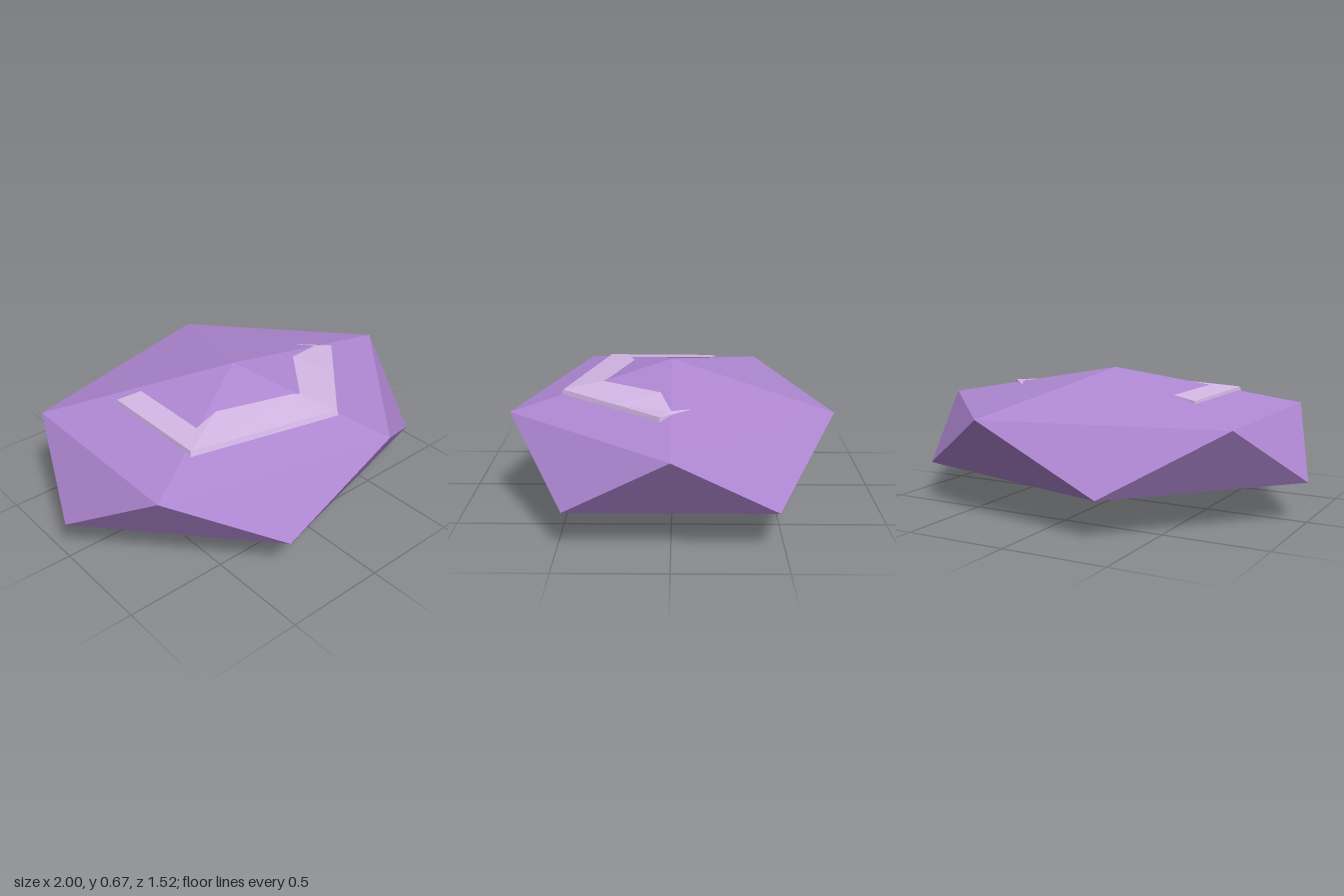
import * as THREE from 'three';
import { ConvexGeometry } from 'three/addons/geometries/ConvexGeometry.js';

const material = (name, color, flatShading = false) => {
  const m = new THREE.MeshStandardMaterial({ color, flatShading });
  m.name = name;
  return m;
};

// Flattened twenty-sided gem: two offset pentagons between two points
function gemGeometry() {
  const points = [new THREE.Vector3(0, 0, 0), new THREE.Vector3(0, 0.67, 0)];
  for (let i = 0; i < 5; i++) {
    const a = (i * Math.PI * 2) / 5;
    points.push(new THREE.Vector3(Math.cos(a), 0.486, Math.sin(a) * 0.8));
    points.push(new THREE.Vector3(-Math.cos(a), 0.188, -Math.sin(a) * 0.8));
  }
  return new ConvexGeometry(points);
}

// Angular band lofted from triangular sections resting on the top facets
function bandGeometry() {
  // each station: outer x, y, z, then inner x, y, z
  const stations = [
    [-0.53, 0.562, -0.23, -0.41, 0.578, -0.2],
    [-0.53, 0.565, 0.34, -0.41, 0.579, 0.23],
    [-0.43, 0.565, 0.365, -0.27, 0.597, 0.2],
    [0.1, 0.565, 0.496, 0.1, 0.595, 0.31],
    [0.2, 0.565, 0.52, 0.14, 0.592, 0.33],
    [0.45, 0.565, 0.253, 0.36, 0.597, 0.05],
    [0.64, 0.565, 0.05, 0.56, 0.568, 0],
    [0.51, 0.561, -0.09, 0.5, 0.561, -0.1],
  ];
  const sections = stations.map(([x, y, z, ix, iy, iz]) => [
    [x, y, z],
    [ix, iy, iz],
    [x * 1.015, 0.53, z * 1.025],
  ]);
  const positions = [];
  const tri = (a, b, c) => positions.push(...a, ...b, ...c);
  for (let i = 0; i < sections.length - 1; i++) {
    for (let k = 0; k < 3; k++) {
      const n = (k + 1) % 3;
      const [a, b] = [sections[i], sections[i + 1]];
      tri(a[k], b[k], b[n]);
      tri(a[k], b[n], a[n]);
    }
  }
  const [first, last] = [sections[0], sections[sections.length - 1]];
  tri(first[0], first[1], first[2]);
  tri(last[0], last[2], last[1]);
  const geometry = new THREE.BufferGeometry();
  geometry.setAttribute('position', new THREE.Float32BufferAttribute(positions, 3));
  geometry.computeVertexNormals();
  return geometry;
}

export function createModel() {
  const group = new THREE.Group();
  group.name = 'facetedGem';

  const gem = new THREE.Mesh(gemGeometry(), material('amethyst', 0xb088d4, true));
  gem.name = 'gemBody';

  const bandMaterial = material('paleLilac', 0xd4b8e6, true);
  bandMaterial.side = THREE.DoubleSide;
  const band = new THREE.Mesh(bandGeometry(), bandMaterial);
  band.name = 'topBand';

  group.add(gem, band);
  return group;
}
